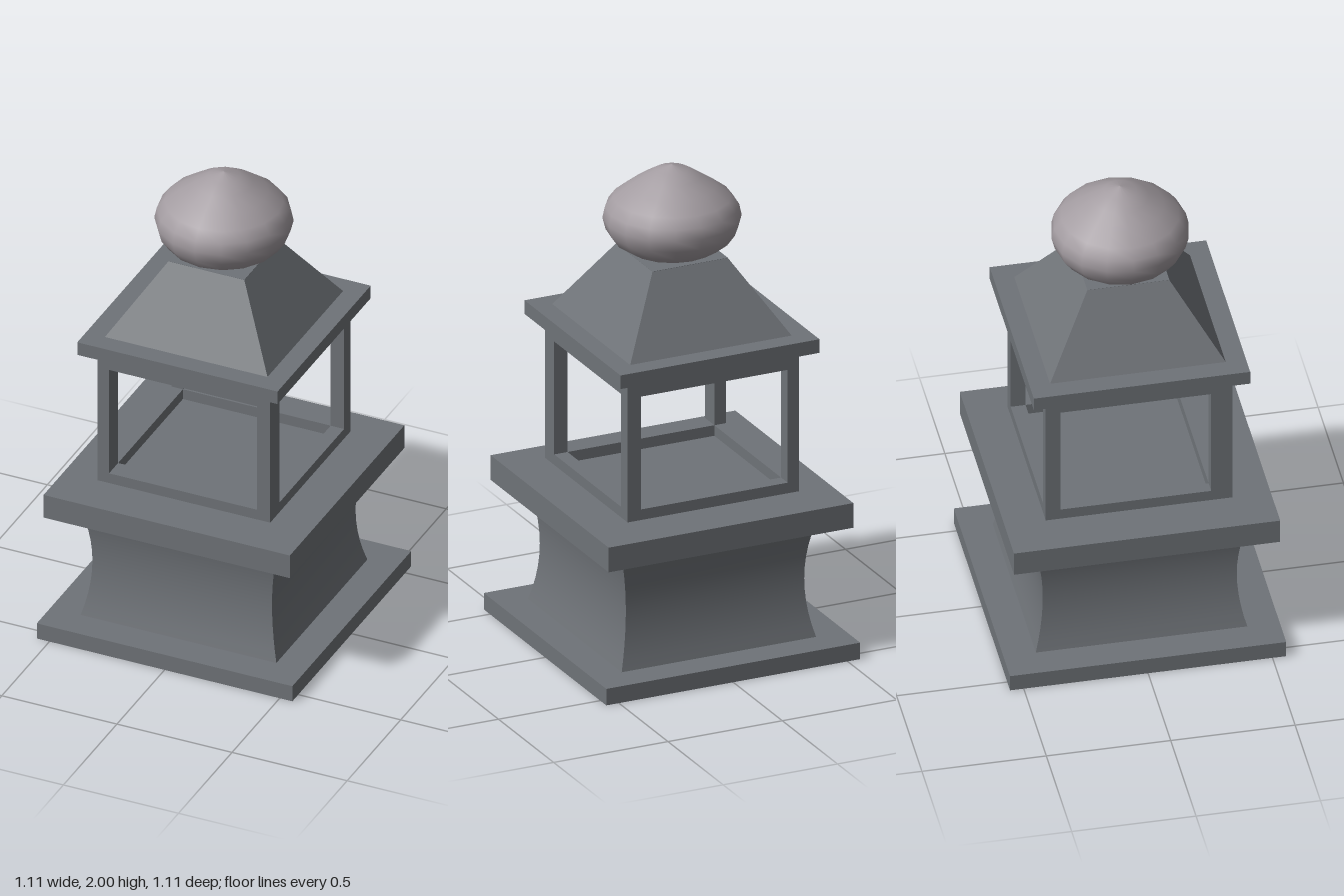
import * as THREE from 'three';

const stone = new THREE.MeshStandardMaterial({ color: 0x6f7378 });
stone.name = 'slate stone';
const pale = new THREE.MeshStandardMaterial({ color: 0xa39ca1 });
pale.name = 'pale finial';

function add(parent, geometry, material, name) {
  const mesh = new THREE.Mesh(geometry, material);
  mesh.name = name;
  parent.add(mesh);
  return mesh;
}

// Box given by its two opposite corners
function block(parent, name, [x0, y0, z0], [x1, y1, z1]) {
  const mesh = add(parent, new THREE.BoxGeometry(x1 - x0, y1 - y0, z1 - z0), stone, name);
  mesh.position.set((x0 + x1) / 2, (y0 + y1) / 2, (z0 + z1) / 2);
}

function slab(parent, name, half, y0, y1) {
  block(parent, name, [-half, y0, -half], [half, y1, half]);
}

// Four mitred side panels whose half width follows a profile over height
function squareShell(parent, name, y0, y1, rows, halfWidth) {
  const shell = new THREE.Group();
  shell.name = name;
  for (let side = 0; side < 4; side++) {
    const g = new THREE.PlaneGeometry(2, 1, 1, rows);
    const p = g.attributes.position;
    for (let i = 0; i < p.count; i++) {
      const t = p.getY(i) + 0.5;
      const w = halfWidth(t);
      p.setXYZ(i, p.getX(i) * w, y0 + t * (y1 - y0), w);
    }
    g.computeVertexNormals();
    add(shell, g, stone, name + 'Side').rotation.y = side * Math.PI / 2;
  }
  parent.add(shell);
}

export function createModel() {
  const model = new THREE.Group();
  model.name = 'stoneLantern';

  // Pedestal with a waisted column
  slab(model, 'basePlate', 0.555, 0, 0.07);
  squareShell(model, 'waist', 0.07, 0.555, 10, t => 0.39 + 0.035 * (2 * t - 1) ** 2);
  slab(model, 'pedestalTop', 0.535, 0.555, 0.66);

  // Open lamp cage: corner posts between two square rings of rails
  const cage = new THREE.Group();
  cage.name = 'lampCage';
  const h = 0.375, left = 0.317, right = -0.325, front = 0.29, back = -0.315;
  const low = 0.68, sill = 0.725, lintel = 1.205, high = 1.275;
  for (const [x0, x1] of [[-h, right], [left, h]])
    for (const [z0, z1] of [[-h, back], [front, h]])
      block(cage, 'cornerPost', [x0, sill, z0], [x1, lintel, z1]);
  for (const [y0, y1] of [[low, sill], [lintel, high]]) {
    block(cage, 'frontRail', [-h, y0, front], [h, y1, h]);
    block(cage, 'backRail', [-h, y0, -h], [h, y1, back]);
    block(cage, 'leftRail', [left, y0, back], [h, y1, front]);
    block(cage, 'rightRail', [-h, y0, back], [right, y1, front]);
  }
  model.add(cage);

  // Eaves and sloping roof
  slab(model, 'eaves', 0.435, 1.28, 1.338);
  squareShell(model, 'roof', 1.338, 1.632, 1, t => 0.353 - 0.188 * t);
  slab(model, 'roofCap', 0.165, 1.622, 1.633);

  // Onion-shaped finial
  const profile = [
    [0, 1.635], [0.14, 1.637], [0.175, 1.65], [0.23, 1.685], [0.262, 1.73], [0.275, 1.78],
    [0.265, 1.825], [0.235, 1.865], [0.175, 1.91], [0.115, 1.95], [0.065, 1.98], [0, 2],
  ].map(([r, y]) => new THREE.Vector2(r, y));
  add(model, new THREE.LatheGeometry(profile, 16), pale, 'finial');

  return model;
}
